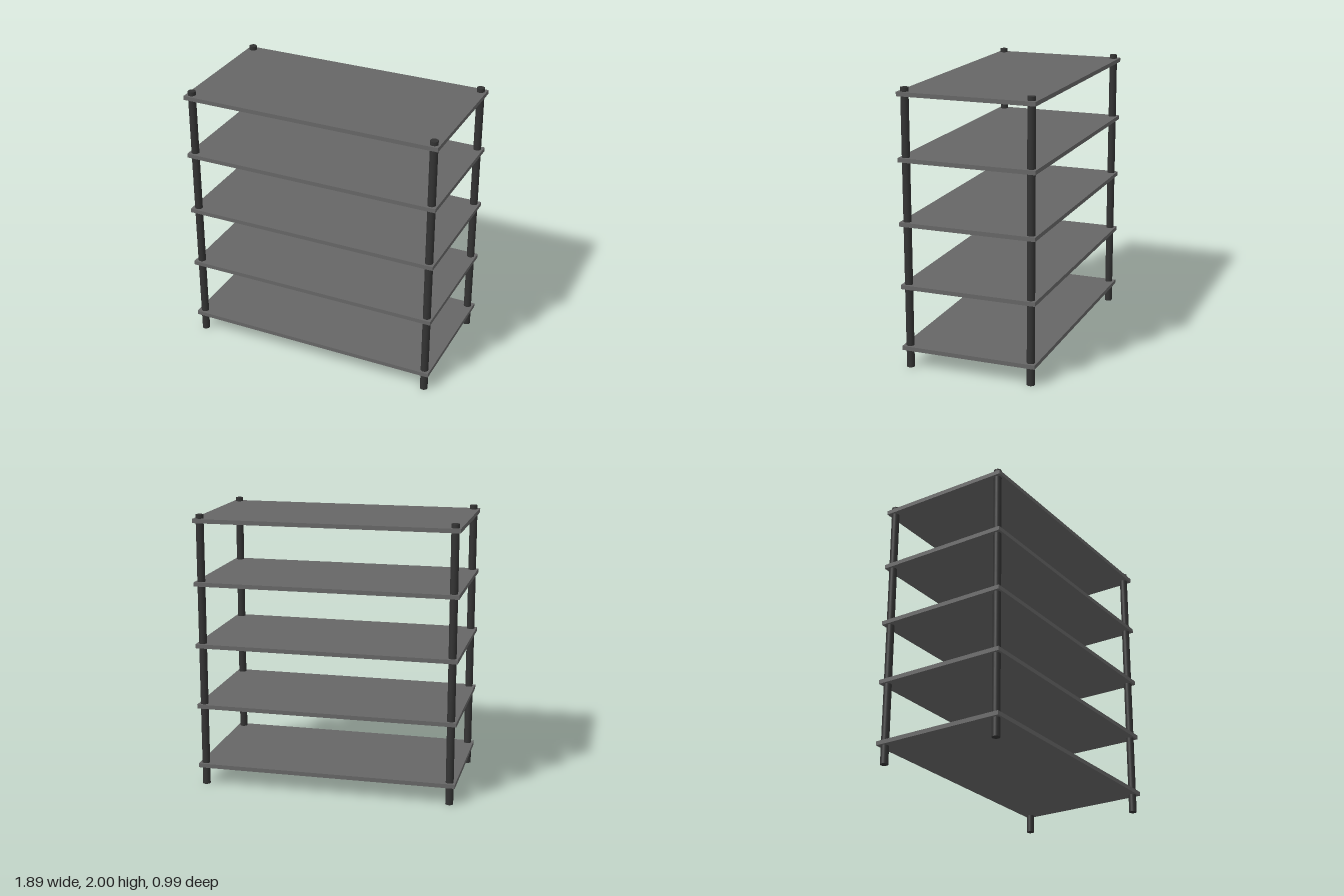
import * as THREE from 'three';

const HEIGHT = 2;
const SHELF = { width: 1.895, thickness: 0.03, depth: 0.99, count: 5, first: 0.147, spacing: 0.4525 };
const POST = { radius: 0.028, x: 0.905, z: 0.452 };

export function createModel() {
  const model = new THREE.Group();
  model.name = 'shelvingUnit';

  const shelfMaterial = new THREE.MeshStandardMaterial({ color: 0x666666 });
  const postMaterial = new THREE.MeshStandardMaterial({ color: 0x333333 });

  // Evenly spaced flat shelves
  const shelfGeometry = new THREE.BoxGeometry(SHELF.width, SHELF.thickness, SHELF.depth);
  for (let i = 0; i < SHELF.count; i++) {
    const shelf = new THREE.Mesh(shelfGeometry, shelfMaterial);
    shelf.name = `shelf${i + 1}`;
    shelf.position.y = SHELF.first + i * SHELF.spacing;
    model.add(shelf);
  }

  // Round corner posts running through every shelf
  const postGeometry = new THREE.CylinderGeometry(POST.radius, POST.radius, HEIGHT, 32);
  for (const [side, sx] of [['Left', 1], ['Right', -1]]) {
    for (const [end, sz] of [['front', 1], ['back', -1]]) {
      const post = new THREE.Mesh(postGeometry, postMaterial);
      post.name = `${end}${side}Post`;
      post.position.set(sx * POST.x, HEIGHT / 2, sz * POST.z);
      model.add(post);
    }
  }

  return model;
}
